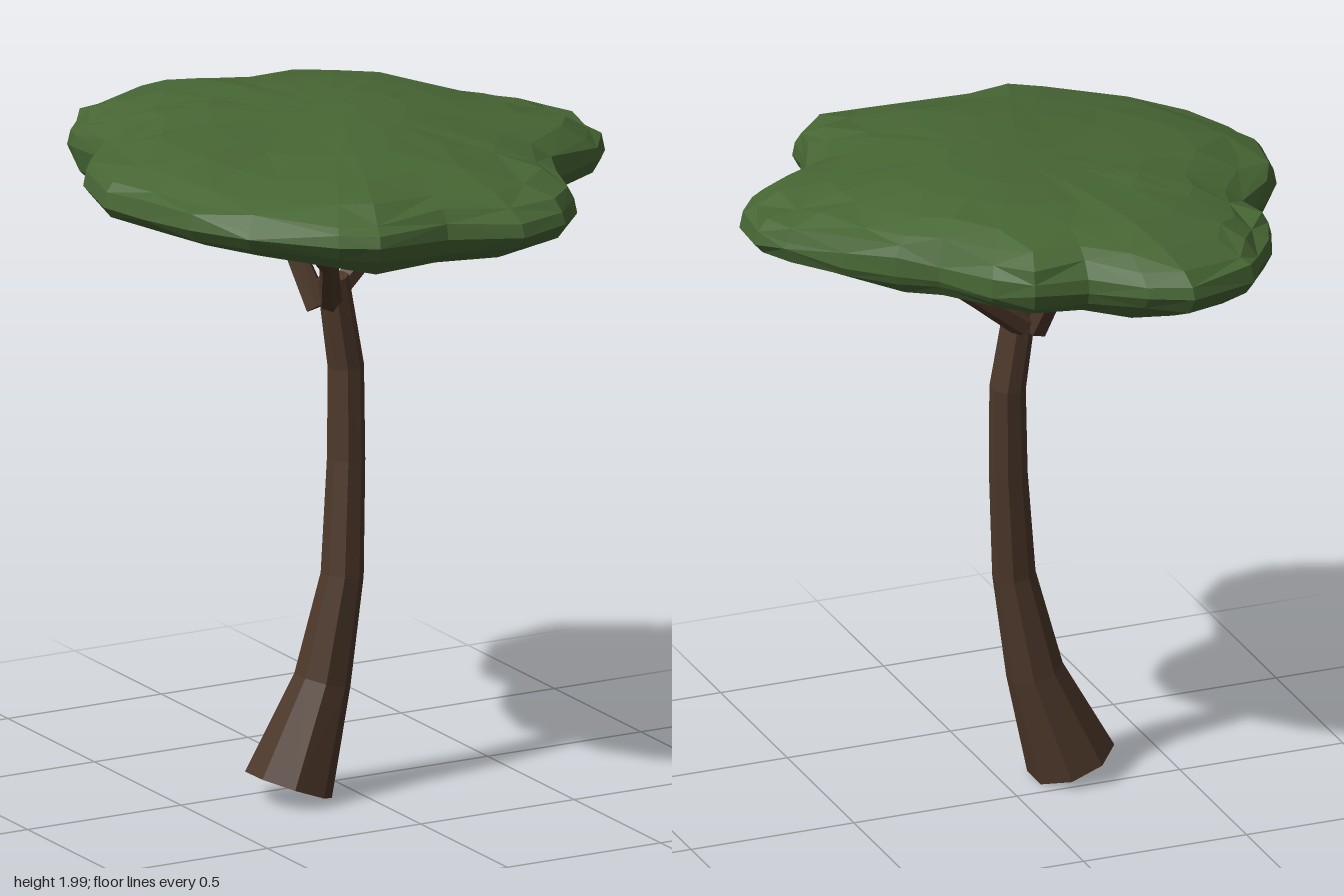
import * as THREE from 'three';

const V = (x, y, z) => new THREE.Vector3(x, y, z);

// Faceted skin over rings of points, each ring counter-clockwise around the direction of travel
function loft(rings) {
  const pos = [];
  const tri = (...pts) => pts.forEach((p) => pos.push(p.x, p.y, p.z));
  const n = rings[0].length;
  for (let i = 0; i < rings.length - 1; i++) {
    for (let j = 0; j < n; j++) {
      const k = (j + 1) % n;
      const a = rings[i][j], b = rings[i][k], c = rings[i + 1][k], d = rings[i + 1][j];
      if ((i + j) % 2) { tri(a, b, c); tri(a, c, d); }
      else { tri(a, b, d); tri(b, c, d); }
    }
  }
  // End caps
  const centre = (r) => r.reduce((s, p) => s.add(p), V(0, 0, 0)).divideScalar(n);
  const first = rings[0], last = rings[rings.length - 1];
  const c0 = centre(first), c1 = centre(last);
  for (let j = 0; j < n; j++) {
    const k = (j + 1) % n;
    tri(c0, first[k], first[j]);
    tri(c1, last[j], last[k]);
  }
  const geo = new THREE.BufferGeometry();
  geo.setAttribute('position', new THREE.Float32BufferAttribute(pos, 3));
  geo.computeVertexNormals();
  return geo;
}

// Tapered limb through stations of [x, y, z, radius]
function limb(stations, sides) {
  const pts = stations.map((s) => V(s[0], s[1], s[2]));
  return loft(stations.map((s, i) => {
    const t = pts[Math.min(i + 1, pts.length - 1)].clone().sub(pts[Math.max(i - 1, 0)]).normalize();
    const u = V(0, 0, 1).addScaledVector(t, -t.z).normalize();
    const v = t.clone().cross(u);
    return Array.from({ length: sides }, (_, j) => {
      const a = ((j + 0.5) / sides) * Math.PI * 2;
      return pts[i].clone().addScaledVector(u, Math.cos(a) * s[3]).addScaledVector(v, Math.sin(a) * s[3]);
    });
  }));
}

// Small seeded noise in -1..1
function seeded(seed) {
  return () => {
    seed = (seed * 16807) % 2147483647;
    return (seed / 2147483647) * 2 - 1;
  };
}

// Canopy outline seen from above, as x, z pairs
const OUTLINE = [
  [-0.22, -0.80], [-0.10, -0.745], [0.04, -0.64], [0.20, -0.625], [0.30, -0.55], [0.40, -0.39],
  [0.50, -0.31], [0.61, -0.19], [0.73, -0.04], [0.78, 0.06], [0.77, 0.20], [0.70, 0.30],
  [0.50, 0.39], [0.44, 0.55], [0.42, 0.66], [0.32, 0.77], [0.17, 0.80], [-0.04, 0.73],
  [-0.28, 0.765], [-0.38, 0.70], [-0.58, 0.53], [-0.68, 0.37], [-0.74, 0.20], [-0.78, 0.05],
  [-0.74, -0.14], [-0.69, -0.21], [-0.57, -0.35], [-0.585, -0.48], [-0.55, -0.57],
  [-0.48, -0.66], [-0.43, -0.73],
];

// Canopy cross-section from top centre to bottom centre: [outline scale, height -1..1]
const SECTION = [
  [0.1, 1], [0.3, 1], [0.52, 0.98], [0.72, 0.92], [0.87, 0.78], [0.955, 0.55], [0.99, 0.28], [1, -0.1],
  [0.975, -0.45], [0.9, -0.8], [0.75, -1], [0.5, -0.9], [0.28, -0.78], [0.1, -0.72],
];

function canopyGeometry() {
  const rnd = seeded(4711);
  const bump = (x, z, cx, cz, w) => Math.exp(-((x - cx) ** 2 + (z - cz) ** 2) / (w * w));
  return loft(SECTION.map(([s, h]) => OUTLINE.map(([ox, oz]) => {
    // Inner rings grow rounder; the rim keeps the full outline
    const round = THREE.MathUtils.lerp(0.68 / Math.hypot(ox, oz), 1, s * s);
    const k = s * round * (1 + (s > 0.96 ? 0 : 0.025 * rnd()));
    const x = ox * k, z = oz * k;
    const rim = 1.842 - 0.03 * z * z - 0.015 * z - 0.01 * x;
    const top = 1.985 - 0.02 * z - 0.09 * (x * x + z * z)
      + 0.012 * bump(x, z, 0.05, -0.3, 0.3) + 0.006 * Math.sin(9 * x + 5 * z);
    // Underside sags in two lobes
    const bottom = 1.75 - 0.07 * bump(x, z, -0.33, -0.45, 0.36) - 0.075 * bump(x, z, 0, 0.6, 0.4);
    const y = rim + (h > 0 ? h * (top - rim) : -h * (bottom - rim));
    return V(x, y + rnd() * 0.012 * s * s, z);
  })));
}

export function createModel() {
  const bark = new THREE.MeshStandardMaterial({ color: 0x4d382a, flatShading: true });
  bark.name = 'bark brown';
  const leaf = new THREE.MeshStandardMaterial({ color: 0x476634, flatShading: true });
  leaf.name = 'leaf green';

  const tree = new THREE.Group();
  tree.name = 'tree';
  const add = (name, geo, mat) => {
    const mesh = new THREE.Mesh(geo, mat);
    mesh.name = name;
    tree.add(mesh);
  };

  // Curved trunk with a flared, tilted foot
  add('trunk', limb([
    [-0.207, 0.05, 0.102, 0.131], [-0.094, 0.345, 0.098, 0.083], [-0.034, 0.65, 0.106, 0.062],
    [-0.005, 0.98, 0.077, 0.055], [0.004, 1.25, 0.06, 0.052], [-0.04, 1.52, 0.062, 0.046],
  ], 8), bark);

  // Branches spreading up into the canopy
  const branches = {
    frontRightBranch: [[-0.05, 1.45, 0.07, 0.035], [-0.13, 1.6, 0.2, 0.028], [-0.26, 1.69, 0.36, 0.021], [-0.37, 1.74, 0.46, 0.014]],
    backRightBranch: [[-0.075, 1.43, 0.04, 0.038], [-0.11, 1.6, -0.05, 0.031], [-0.19, 1.71, -0.17, 0.023], [-0.25, 1.8, -0.37, 0.014]],
    leftBranch: [[-0.03, 1.45, 0.03, 0.037], [0.11, 1.56, 0.01, 0.03], [0.26, 1.675, -0.02, 0.023], [0.4, 1.76, -0.05, 0.014]],
  };
  for (const [name, stations] of Object.entries(branches)) add(name, limb(stations, 6), bark);

  // Flat spreading crown
  add('canopy', canopyGeometry(), leaf);
  return tree;
}
